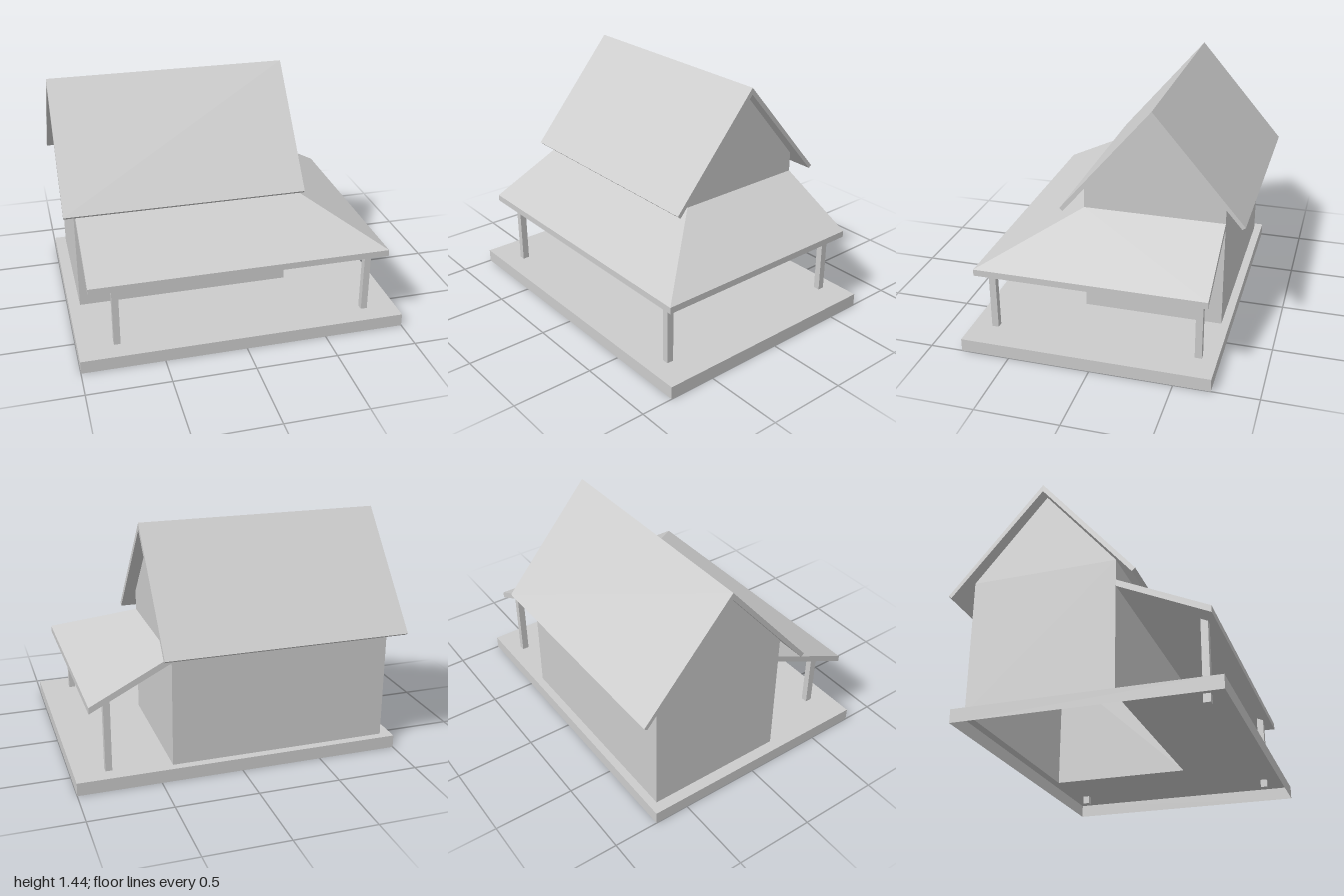
import * as THREE from 'three';

const material = new THREE.MeshStandardMaterial({ color: 0xcccccc, side: THREE.DoubleSide });

// Flat-shaded sheet made of convex polygons, each a list of [x, y, z] corners
function panels(name, polygons) {
  const pos = [];
  for (const p of polygons)
    for (let i = 1; i < p.length - 1; i++) pos.push(...p[0], ...p[i], ...p[i + 1]);
  const geo = new THREE.BufferGeometry();
  geo.setAttribute('position', new THREE.Float32BufferAttribute(pos, 3));
  geo.computeVertexNormals();
  const mesh = new THREE.Mesh(geo, material);
  mesh.name = name;
  return mesh;
}

// Corners of a level rectangle, counter-clockwise seen from above
const rect = (x0, x1, z0, z1, y) => [[x0, y, z1], [x1, y, z1], [x1, y, z0], [x0, y, z0]];

// Quads joining two matching closed loops of corners
const bridge = (a, b) => a.map((p, i) => {
  const j = (i + 1) % a.length;
  return [p, a[j], b[j], b[i]];
});

export function createModel() {
  const group = new THREE.Group();

  const floorY = 0.08;
  const house = { x0: -0.93, x1: 0.42, z0: -0.67, z1: 0.2 };
  const ridgeZ = -0.235, eaveY = 0.89, apexY = 1.4;

  // Platform: hollow underneath, open below the house
  const outerTop = rect(-1, 1, -0.72, 0.8, floorY);
  const outerBottom = rect(-1, 1, -0.72, 0.8, 0);
  const footprint = rect(house.x0, house.x1, house.z0, house.z1, floorY);
  group.add(panels('platform', [...bridge(outerBottom, outerTop), ...bridge(outerTop, footprint)]));

  // House walls: two gable ends joined by the long front and back walls
  const gable = (x) => [
    [x, floorY, house.z1], [x, floorY, house.z0], [x, eaveY, house.z0],
    [x, apexY, ridgeZ], [x, eaveY, house.z1],
  ];
  const left = gable(house.x1), right = gable(house.x0);
  group.add(panels('houseWalls', [
    left,
    [...right].reverse(),
    [right[0], left[0], left[4], right[4]],
    [left[1], right[1], right[2], left[2]],
  ]));

  // Gable roof: chevron section [z, y] extruded along x
  const chevron = new THREE.Shape([
    [0.335, 0.775], [ridgeZ, 1.443], [-0.798, 0.791],
    [-0.778, 0.777], [ridgeZ, apexY], [0.315, 0.757],
  ].map(([z, y]) => new THREE.Vector2(-z, y)));
  const roofGeo = new THREE.ExtrudeGeometry(chevron, { depth: 1.493, bevelEnabled: false });
  roofGeo.rotateY(Math.PI / 2);
  roofGeo.translate(-1, 0, 0);
  const roof = new THREE.Mesh(roofGeo, material);
  roof.name = 'gableRoof';
  group.add(roof);

  // Porch roof: sloping slab wrapping the front and the left side with a mitred hip
  const section = (ox, oz, ix, iz) => [
    [ox, 0.475, oz], [ox, 0.515, oz], [ix, 0.765, iz], [ix, 0.725, iz],
  ];
  const frontEnd = section(-0.925, 0.732, -0.925, 0.2);
  const hip = section(0.905, 0.732, 0.42, 0.2);
  const backEnd = section(0.905, -0.67, 0.42, -0.67);
  group.add(panels('porchRoof', [
    frontEnd,
    ...bridge(hip, frontEnd),
    ...bridge(backEnd, hip),
    [...backEnd].reverse(),
  ]));

  // Porch posts, let into the platform and the roof underside
  for (const [x, z] of [[-0.766, 0.657], [0.795, 0.657], [0.795, -0.607]]) {
    const post = new THREE.Mesh(new THREE.BoxGeometry(0.04, 0.49, 0.042), material);
    post.position.set(x, 0.03 + 0.245, z);
    post.name = 'porchPost';
    group.add(post);
  }

  return group;
}
